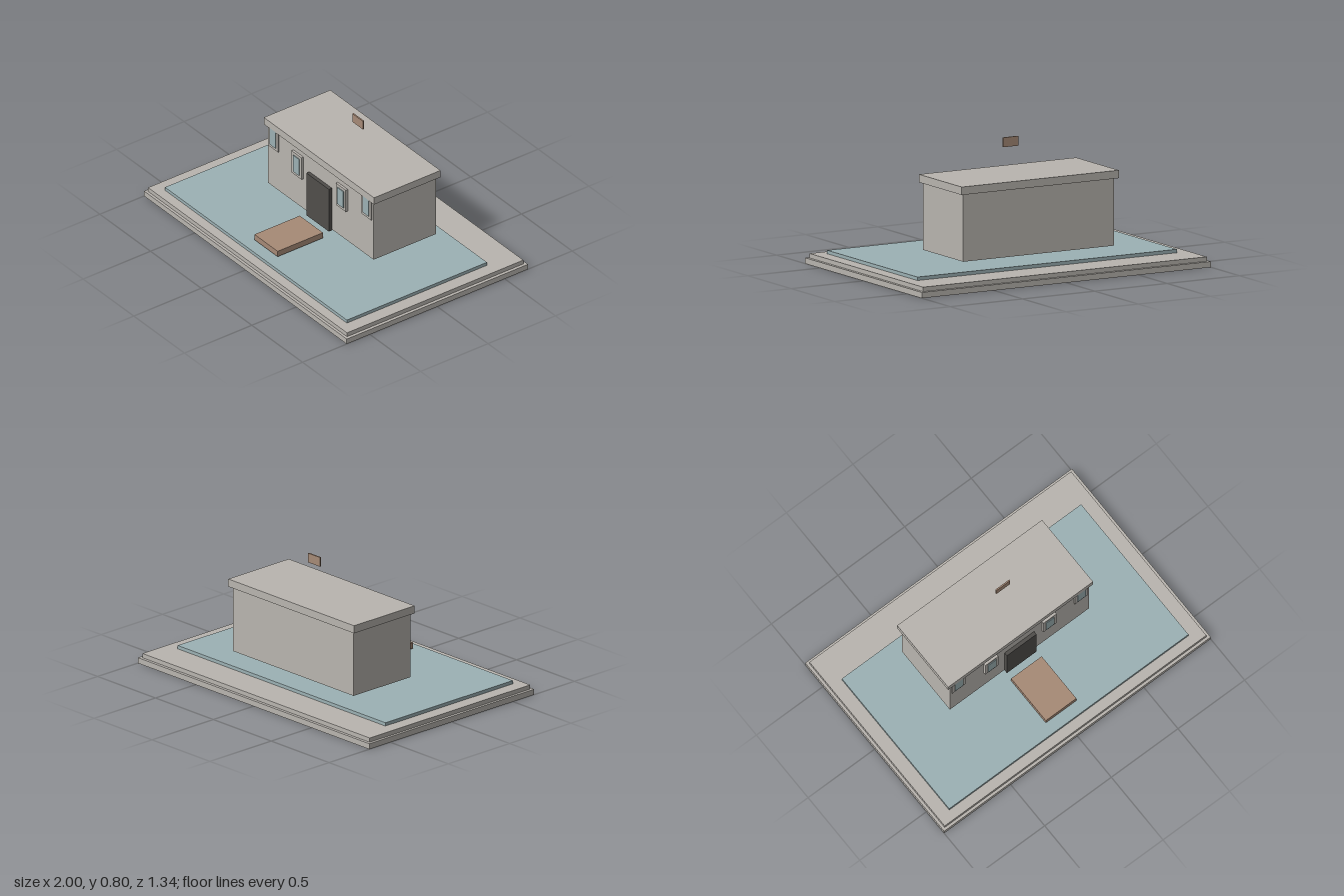
import * as THREE from 'three';

export function createModel() {
  const model = new THREE.Group();
  const paint = (name, color) => {
    const m = new THREE.MeshStandardMaterial({ color });
    m.name = name;
    return m;
  };
  const stone = paint('stone grey', 0xb9b5af);
  const blue = paint('pale blue', 0x9cb1b4);
  const brown = paint('wood brown', 0xa68a76);
  const dark = paint('door charcoal', 0x504e4b);

  // Box given by its min and max on each axis
  const box = (name, mat, [x0, x1], [y0, y1], [z0, z1], parent = model) => {
    const mesh = new THREE.Mesh(new THREE.BoxGeometry(x1 - x0, y1 - y0, z1 - z0), mat);
    mesh.position.set((x0 + x1) / 2, (y0 + y1) / 2, (z0 + z1) / 2);
    mesh.name = name;
    parent.add(mesh);
  };

  // Stepped platform
  box('baseSlab', stone, [-1, 1], [0, 0.035], [-0.672, 0.672]);
  box('upperSlab', stone, [-0.983, 0.98], [0.035, 0.062], [-0.653, 0.655]);
  box('courtyard', blue, [-0.9, 0.895], [0.062, 0.083], [-0.447, 0.592]);

  // Building
  box('walls', stone, [-0.523, 0.52], [0.125, 0.532], [-0.35, 0.112]);
  box('roof', stone, [-0.546, 0.541], [0.532, 0.58], [-0.368, 0.125]);
  box('door', dark, [-0.113, 0.109], [0.118, 0.417], [0.1, 0.135]);
  box('entranceStep', brown, [-0.117, 0.112], [0.092, 0.13], [0.181, 0.517]);
  box('sign', brown, [0.004, 0.108], [0.742, 0.8], [-0.127, -0.118]);

  // Windows: x centre, sill height, front of the frame
  const windows = [[-0.461, 0.4, 0.12], [-0.22, 0.336, 0.127], [0.216, 0.336, 0.127], [0.457, 0.4, 0.12]];
  for (const [x, y, z] of windows) {
    const window = new THREE.Group();
    window.name = 'window';
    box('windowFrame', stone, [x - 0.049, x + 0.049], [y, y + 0.154], [0.105, z], window);
    box('windowGlass', blue, [x - 0.03, x + 0.03], [y + 0.019, y + 0.135], [z - 0.003, z + 0.005], window);
    model.add(window);
  }
  return model;
}
